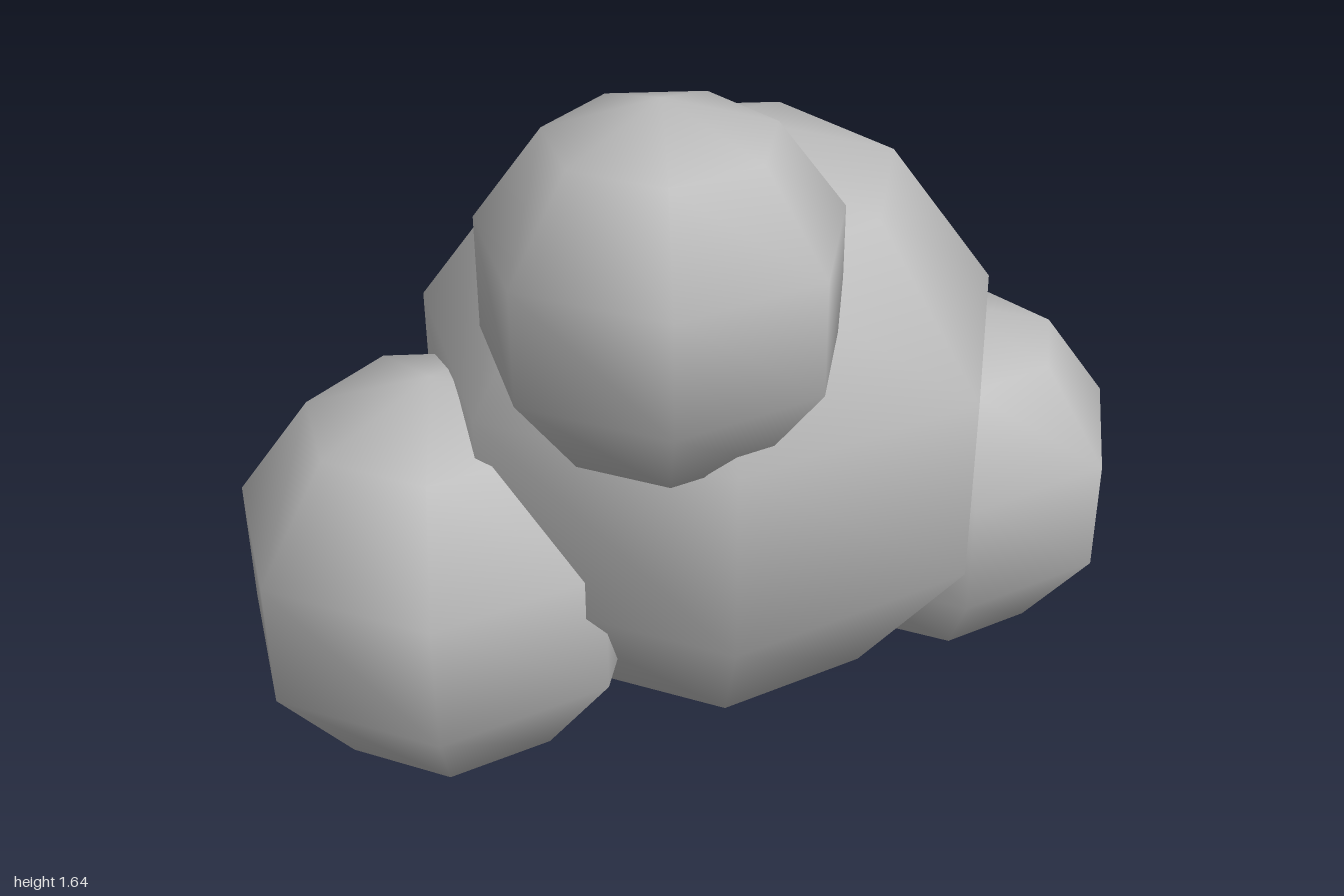
import * as THREE from 'three';

export function createModel() {
  const model = new THREE.Group();
  model.name = 'ballCluster';

  const grey = new THREE.MeshStandardMaterial({ color: 0xbcbcbc });
  grey.name = 'grey';

  // Coarse seven-sided ball with smooth normals and one corner facing +z
  function addBall(name, radius, x, y, z) {
    const geometry = new THREE.SphereGeometry(radius, 7, 5, Math.PI / 2);
    const ball = new THREE.Mesh(geometry, grey);
    ball.name = name;
    ball.position.set(x, y, z);
    model.add(ball);
  }

  addBall('mainBall', 0.685, 0.04, 0.735, -0.102);
  addBall('rightBall', 0.47, -0.564, 0.47, 0.107);
  addBall('leftBall', 0.43, 0.601, 0.43, -0.278);
  addBall('topBall', 0.386, -0.088, 1.25, 0.325);

  return model;
}
